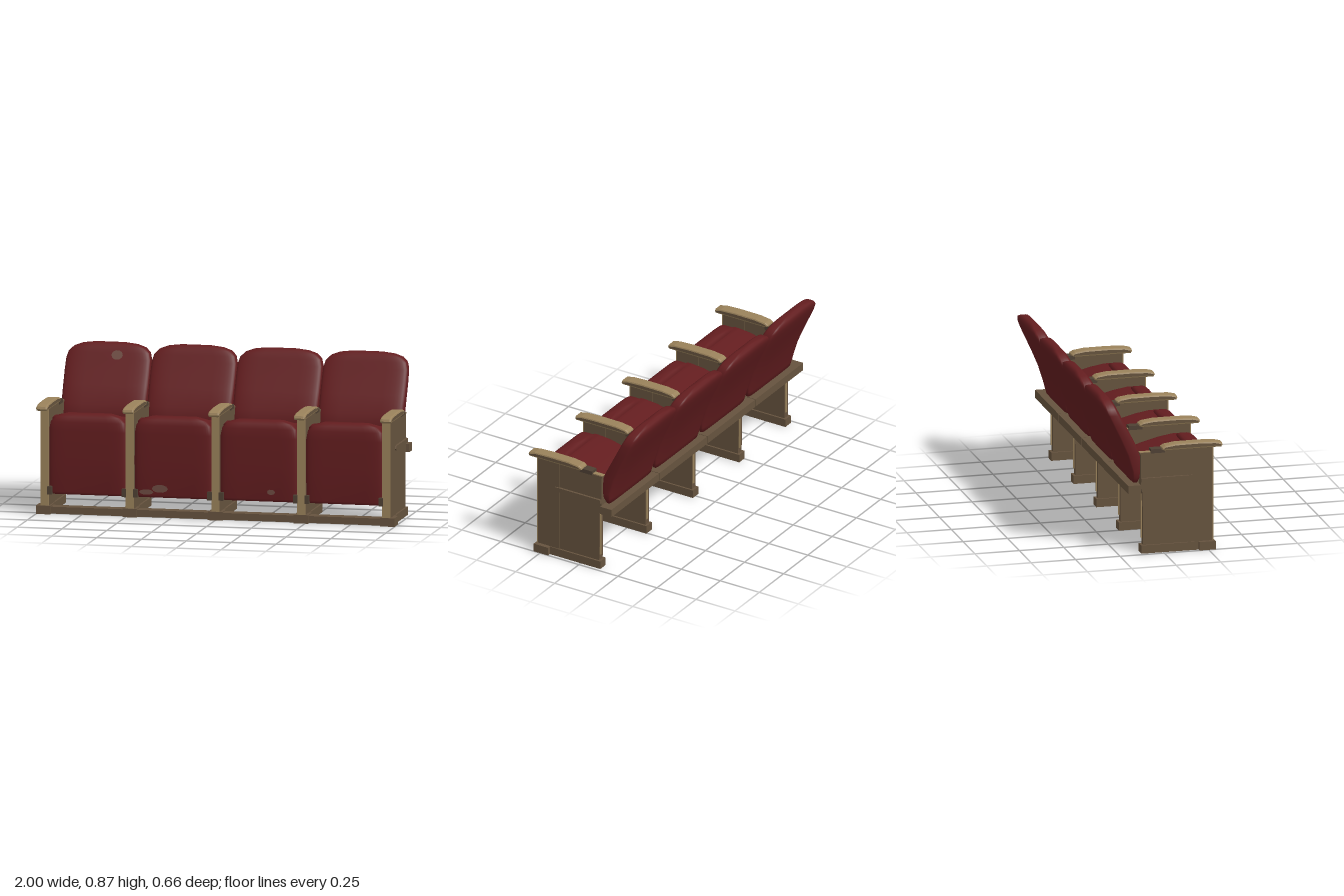
import * as THREE from 'three';

const mat = (name, color) => {
  const m = new THREE.MeshStandardMaterial({ color });
  m.name = name;
  return m;
};

// Smooth upholstered solid: rows of [y, zFront, zBack, halfWidth], rounded-rectangle sections
function loft(rows, power, n = 36) {
  const pos = [], idx = [];
  const soft = v => Math.sign(v) * Math.pow(Math.abs(v), power);
  for (const [y, zf, zb, hw] of rows) {
    for (let i = 0; i < n; i++) {
      const a = (i / n) * Math.PI * 2;
      pos.push(hw * soft(Math.cos(a)), y, (zf + zb) / 2 + ((zf - zb) / 2) * soft(Math.sin(a)));
    }
  }
  for (let r = 0; r < rows.length - 1; r++) {
    for (let i = 0; i < n; i++) {
      const a = r * n + i, b = r * n + ((i + 1) % n);
      idx.push(a, a + n, b, b, a + n, b + n);
    }
  }
  // end caps
  const last = rows.length - 1, bottom = pos.length / 3, top = bottom + 1;
  pos.push(0, rows[0][0], (rows[0][1] + rows[0][2]) / 2);
  pos.push(0, rows[last][0], (rows[last][1] + rows[last][2]) / 2);
  for (let i = 0; i < n; i++) {
    const j = (i + 1) % n;
    idx.push(bottom, i, j, top, last * n + j, last * n + i);
  }
  const g = new THREE.BufferGeometry();
  g.setAttribute('position', new THREE.Float32BufferAttribute(pos, 3));
  g.setIndex(idx);
  g.computeVertexNormals();
  return g;
}

// Side profile of [z, y] points extruded across x, centred
function sideProfile(points, width, bevel = 0) {
  const shape = new THREE.Shape(points.map(p => new THREE.Vector2(p[0], p[1])));
  const depth = width - 2 * bevel;
  const g = new THREE.ExtrudeGeometry(shape, {
    depth, bevelEnabled: bevel > 0, bevelThickness: bevel, bevelSize: bevel,
    bevelOffset: -bevel, bevelSegments: 2,
  });
  g.translate(0, 0, -depth / 2);
  g.rotateY(-Math.PI / 2);
  return g;
}

export function createModel() {
  const red = mat('red upholstery', 0x631d1f);
  const tan = mat('worn tan wood', 0x9a825b);
  const brown = mat('brown wood', 0x66533e);
  const dark = mat('dark brown wood', 0x4e4033);
  const stain = mat('faded stain', 0x6d4b41);

  const model = new THREE.Group();
  model.name = 'seatRow';
  const add = (parent, name, geo, material, x = 0, y = 0, z = 0) => {
    const m = new THREE.Mesh(geo, material);
    m.name = name;
    m.position.set(x, y, z);
    parent.add(m);
    return m;
  };
  // Box given by y and z ranges
  const block = (parent, name, material, w, y0, y1, z0, z1, x = 0) =>
    add(parent, name, new THREE.BoxGeometry(w, y1 - y0, z1 - z0), material, x, (y0 + y1) / 2, (z0 + z1) / 2);

  // Shared geometry
  const backrestGeo = loft([
    [0.39, -0.13, -0.158, 0.215], [0.42, -0.115, -0.167, 0.228], [0.455, -0.09, -0.178, 0.235],
    [0.55, -0.109, -0.208, 0.237], [0.65, -0.16, -0.25, 0.238], [0.72, -0.196, -0.283, 0.238],
    [0.78, -0.226, -0.31, 0.236], [0.815, -0.243, -0.324, 0.226], [0.84, -0.256, -0.33, 0.2],
    [0.856, -0.27, -0.325, 0.155], [0.865, -0.282, -0.312, 0.09],
  ], 0.4);
  const cushionGeo = loft([
    [0.11, 0.262, 0.21, 0.21], [0.125, 0.275, 0.2, 0.216], [0.3, 0.28, 0.19, 0.218],
    [0.46, 0.28, 0.18, 0.218], [0.51, 0.278, 0.18, 0.208], [0.538, 0.268, 0.18, 0.18],
    [0.552, 0.25, 0.19, 0.125],
  ], 0.35);
  const padGeo = loft([
    [0.4, 0.2, 0.1, 0.21], [0.42, 0.21, -0.02, 0.218], [0.44, 0.21, -0.1, 0.22],
    [0.465, 0.21, -0.1, 0.221], [0.49, 0.21, -0.02, 0.221], [0.515, 0.21, 0.08, 0.217],
    [0.532, 0.205, 0.16, 0.2],
  ], 0.26);
  const armGeo = sideProfile([
    [0.325, 0.575], [0.333, 0.585], [0.328, 0.598], [0.29, 0.607], [0.2, 0.611], [0.07, 0.61],
    [0.01, 0.602], [-0.008, 0.592], [-0.01, 0.582], [0.002, 0.575],
  ], 0.064, 0.009);
  const panelGeo = sideProfile([
    [0.185, 0.045], [0.16, 0.115], [0.16, 0.56], [-0.125, 0.56],
    [-0.125, 0.37], [-0.115, 0.34], [-0.112, 0.045],
  ], 0.036);
  const ledgeGeo = sideProfile(
    [[0.175, 0.41], [0.165, 0.425], [-0.125, 0.425], [-0.125, 0.402], [0.16, 0.4]], 0.014);

  // Four upholstered seats
  [-0.717, -0.239, 0.239, 0.717].forEach((x, i) => {
    const seat = new THREE.Group();
    seat.name = 'seat' + (i + 1);
    seat.position.x = x;
    add(seat, 'backrest', backrestGeo, red);
    add(seat, 'seatFront', cushionGeo, red);
    add(seat, 'seatPad', padGeo, red);
    for (const s of [-1, 1]) block(seat, 'seatHinge', dark, 0.024, 0.11, 0.155, 0.23, 0.292, s * 0.207);
    model.add(seat);
  });

  // Faded patches on the fabric
  const patch = (x, y, z, w, h, tilt) => {
    const p = add(model, 'fabricStain', new THREE.CircleGeometry(1, 10), stain, x, y, z);
    p.scale.set(w, h, 1);
    p.rotation.x = tilt;
  };
  patch(-0.665, 0.805, -0.233, 0.032, 0.028, -0.45);
  patch(-0.31, 0.162, 0.284, 0.045, 0.022, 0);
  patch(-0.385, 0.142, 0.2845, 0.04, 0.015, 0);
  patch(0.31, 0.165, 0.284, 0.022, 0.015, 0);

  // Five partitions with post, armrest and foot
  [-0.953, -0.478, 0, 0.478, 0.953].forEach((x, i) => {
    const part = new THREE.Group();
    part.name = 'partition' + (i + 1);
    part.position.x = x;
    const out = Math.abs(x) > 0.9 ? Math.sign(x) : 0;
    add(part, 'sidePanel', panelGeo, brown);
    block(part, 'frontPost', brown, 0.046, 0.045, 0.578, 0.14, 0.278);
    block(part, 'postFace', tan, 0.046, 0.047, 0.576, 0.278, 0.283);
    block(part, 'wornRearEdge', tan, 0.012, 0.08, 0.33, -0.118, -0.11, 0.008);
    add(part, 'armrest', armGeo, [brown, tan], out * 0.006);
    block(part, 'armrestBracket', dark, 0.048, 0.562, 0.585, -0.068, 0.01);
    block(part, 'panelCap', brown, 0.038, 0.558, 0.566, -0.13, 0);
    block(part, 'wornCapTop', tan, 0.026, 0.566, 0.569, -0.13, -0.06);
    block(part, 'armrestSupport', brown, 0.038, 0.555, 0.58, 0, 0.14);
    block(part, 'frontFoot', brown, 0.08, 0, 0.047, 0.198, 0.29, out * 0.007);
    block(part, 'rearFoot', brown, 0.056, 0, 0.046, -0.125, 0.198);
    if (out) add(part, 'sideLedge', ledgeGeo, brown, out * 0.023);
    block(part, 'railBracket', dark, 0.036, 0.35, 0.385, -0.15, -0.1);
    model.add(part);
  });

  // Long beams tying the row together
  block(model, 'baseBeam', brown, 1.9, 0.004, 0.042, 0.215, 0.284);
  for (const x of [-0.7425, -0.2475, 0.2475, 0.7425]) {
    block(model, 'rearRail', brown, 0.491, 0.345, 0.39, -0.2, -0.128, x);
  }
  return model;
}
